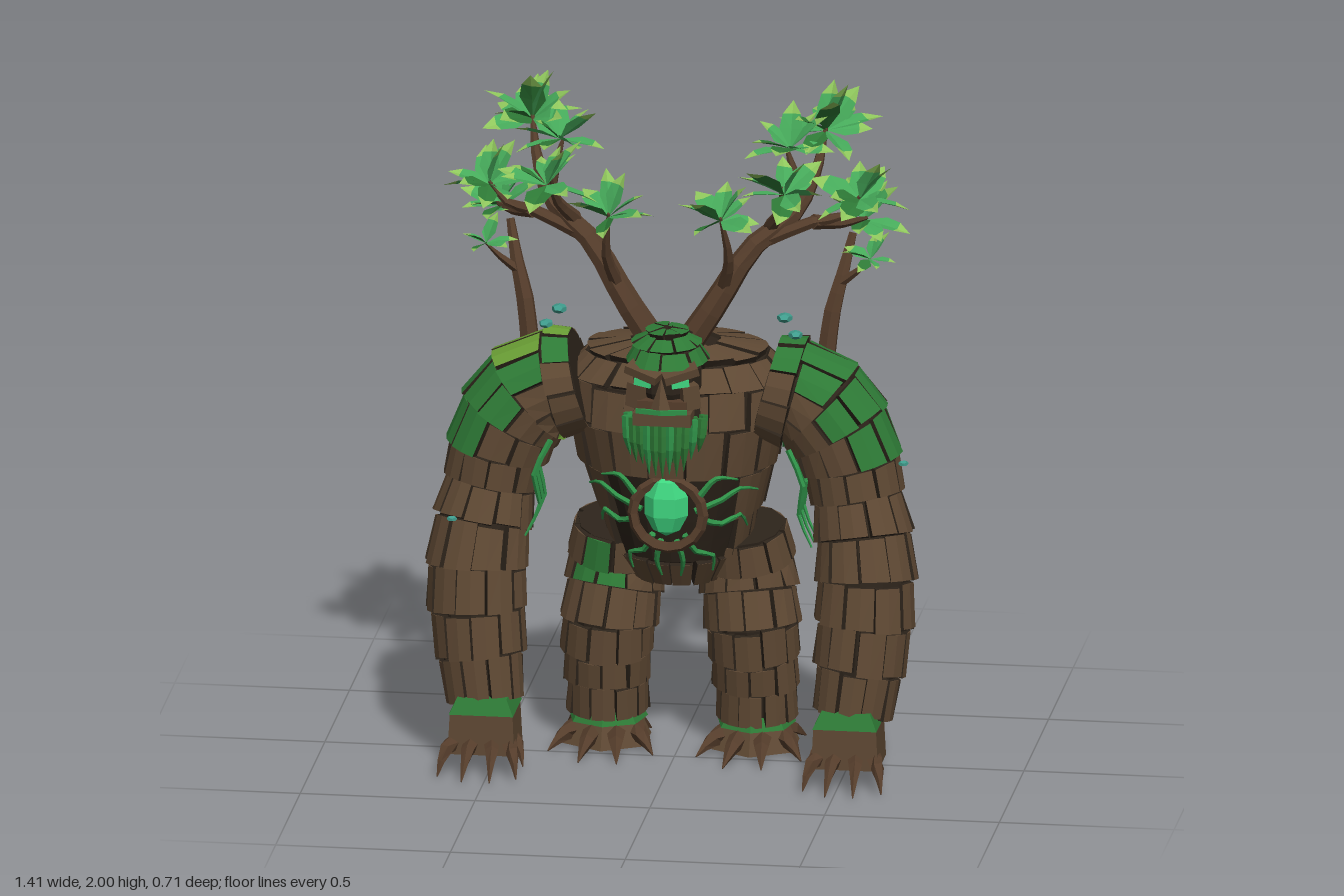
import * as THREE from 'three';

const V = (x, y, z) => new THREE.Vector3(x, y, z);
const lerp = THREE.MathUtils.lerp;
const TAU = Math.PI * 2;

export function createModel() {
  const root = new THREE.Group();
  root.name = 'treeGuardian';
  let seed = 7;
  const rnd = () => (seed = (seed * 16807) % 2147483647) / 2147483647;
  const jit = (a) => (rnd() - 0.5) * 2 * a;

  const colours = {
    bark: 0x5e4833, dark: 0x2c231a, wood: 0x553d2b, moss: 0x2e7a36, lime: 0x6a9e35,
    leaf: 0x46aa5a, leafTip: 0x8fc65c, crystal: 0x3fd680, teal: 0x3f9c8c, vine: 0x2f9148,
  };
  const mats = {};
  for (const [name, color] of Object.entries(colours)) {
    mats[name] = new THREE.MeshStandardMaterial({ color });
    mats[name].name = name;
    if (['leaf', 'leafTip', 'moss'].includes(name)) mats[name].side = THREE.DoubleSide;
  }

  // Triangles are gathered per colour, then turned into flat-shaded meshes
  let bins = {};
  const tri = (m, ...p) => p.forEach((v) => (bins[m] ??= []).push(v.x, v.y, v.z));
  const quad = (m, a, b, c, d) => { tri(m, a, b, c); tri(m, a, c, d); };
  const flush = (name) => {
    const part = new THREE.Group();
    part.name = name;
    for (const m in bins) {
      const g = new THREE.BufferGeometry();
      g.setAttribute('position', new THREE.Float32BufferAttribute(bins[m], 3));
      g.computeVertexNormals();
      const mesh = new THREE.Mesh(g, mats[m]);
      mesh.name = name + '_' + m;
      part.add(mesh);
    }
    bins = {};
    root.add(part);
  };
  // Ready-made geometry as a facetted part
  const solid = (name, geo, m, pos, scale = [1, 1, 1], rot = [0, 0, 0]) => {
    const g = geo.index ? geo.toNonIndexed() : geo;
    g.computeVertexNormals();
    const mesh = new THREE.Mesh(g, mats[m]);
    mesh.name = name;
    mesh.position.set(...pos);
    mesh.scale.set(...scale);
    mesh.rotation.set(...rot);
    root.add(mesh);
  };

  // Surface of a bent limb: centre line with a radius at each point
  const limb = (pts, radii) => {
    const curve = new THREE.CatmullRomCurve3(pts.map((p) => V(...p)));
    return (s, a) => {
      const c = curve.getPoint(s), t = curve.getTangent(s);
      const u = Math.abs(t.z) > 0.9 ? V(0, 1, 0) : V(0, 0, 1);
      u.addScaledVector(t, -u.dot(t)).normalize();
      const v = t.clone().cross(u);
      const k = s * (radii.length - 1), i = Math.min(Math.floor(k), radii.length - 2);
      const r = lerp(radii[i], radii[i + 1], k - i);
      return c.addScaledVector(u, r * Math.cos(a)).addScaledVector(v, r * Math.sin(a));
    };
  };
  const normalAt = (P, s, a) => {
    const e = 0.01;
    const da = P(s, a + e).sub(P(s, a - e));
    return da.cross(P(Math.min(1, s + e), a).sub(P(Math.max(0, s - e), a))).normalize();
  };
  const lift = (P, s, a, h) => P(s, a).addScaledVector(normalAt(P, s, a), h);

  // Closed skin over a surface
  const skin = (P, m, rows, cols) => {
    for (let c = 0; c < cols; c++) {
      const a = (c / cols) * TAU, b = ((c + 1) / cols) * TAU;
      for (let r = 0; r < rows; r++) {
        quad(m, P(r / rows, a), P(r / rows, b), P((r + 1) / rows, b), P((r + 1) / rows, a));
      }
      for (const s of [0, 1]) {
        const mid = P(s, 0).add(P(s, Math.PI)).multiplyScalar(0.5);
        if (s) tri(m, mid, P(s, a), P(s, b)); else tri(m, mid, P(s, b), P(s, a));
      }
    }
  };
  const tube = (m, pts, radii, rows = 5, cols = 6) => skin(limb(pts, radii), m, rows, cols);

  // Overlapping bevelled bark plates; pick() chooses each plate's colour or skips it
  const plates = (P, rows, cols, down, pick) => {
    for (let r = 0; r < rows; r++) for (let c = 0; c < cols; c++) {
      const w = TAU / cols, a0 = (c + (r % 2) * 0.5) * w + jit(0.03), a1 = a0 + w * 0.98;
      const s0 = Math.max(0, (r + 0.01 + jit(0.05)) / rows), s1 = Math.min(1, (r + 0.99 + jit(0.05)) / rows);
      const sm = (s0 + s1) / 2, am = (a0 + a1) / 2;
      const m = pick(P(sm, am), normalAt(P, sm, am), sm);
      if (!m) continue;
      const lo = 0.011 + jit(0.003), hi = 0.022 + jit(0.004);
      const h0 = down ? lo : hi, h1 = down ? hi : lo;
      const da = w * 0.04, ds = 0.025 / rows;
      const inn = [[s0, a0], [s0, a1], [s1, a1], [s1, a0]].map(([s, a]) => lift(P, s, a, -0.004));
      const out = [[s0 + ds, a0 + da, h0], [s0 + ds, a1 - da, h0], [s1 - ds, a1 - da, h1], [s1 - ds, a0 + da, h1]]
        .map(([s, a, h]) => lift(P, s, a, h));
      const f = [lift(P, s0 + ds, am, h0), lift(P, s1 - ds, am, h1)];
      quad(m, out[0], f[0], f[1], out[3]);
      quad(m, f[0], out[1], out[2], f[1]);
      tri(m, out[0], out[1], f[0]);
      tri(m, out[2], out[3], f[1]);
      for (let i = 0; i < 4; i++) quad('dark', inn[i], inn[(i + 1) % 4], out[(i + 1) % 4], out[i]);
    }
  };

  // Torso: rings of y, centre z, half width, half depth
  const rings = [[0.53, -0.14, 0.12, 0.14], [0.6, -0.135, 0.175, 0.195], [0.73, -0.115, 0.215, 0.215], [0.87, -0.095, 0.262, 0.23],
    [1.01, -0.08, 0.3, 0.24], [1.12, -0.08, 0.305, 0.22], [1.185, -0.08, 0.255, 0.175], [1.225, -0.05, 0.12, 0.08]];
  const torso = (s, a) => {
    const k = s * 7, i = Math.min(Math.floor(k), 6);
    const [y, z, w, d] = rings[i].map((v, j) => lerp(v, rings[i + 1][j], k - i));
    return V(Math.sin(a) * w, y, z + Math.cos(a) * d);
  };
  skin(torso, 'dark', 14, 20);
  plates(torso, 7, 16, false, (p) => (p.y > 0.62 && p.y < 0.86 && p.z > 0 && Math.abs(p.x) < 0.15 ? null : 'bark'));
  flush('torso');

  // Belly crystal in a wooden ring, with vines creeping outward
  solid('bellyCrystal', new THREE.SphereGeometry(1, 6, 5), 'crystal', [-0.005, 0.79, 0.13], [0.065, 0.09, 0.045]);
  solid('bellyRing', new THREE.TorusGeometry(0.1, 0.016, 5, 16), 'wood', [0, 0.765, 0.13]);
  for (const sd of [-1, 1]) {
    for (const path of [[[0.34, 0.3], [0.37, 0.6], [0.4, 0.8], [0.38, 1.1]], [[0.31, 0.4], [0.29, 0.65], [0.31, 0.9], [0.26, 1.1]],
      [[0.26, 0.2], [0.2, 0.35], [0.18, 0.6], [0.12, 0.65]], [[0.24, 0.1], [0.17, 0.18], [0.1, 0.15]], [[0.39, 0.35], [0.44, 0.5], [0.43, 0.75]]]) {
      tube('vine', path.map(([s, a]) => lift(torso, s, sd * a, 0.026).toArray()), [0.01, 0.008, 0.003], 6, 5);
    }
  }
  flush('bellyVines');

  // A rosette of broad, folded, two-tone leaves
  const rosette = (x, y, z, size, count) => {
    for (let i = 0; i < count; i++) {
      const a = i * 2.4 + jit(0.3), el = [0, 0.45, 0.95][i % 3] + jit(0.3);
      const d = V(Math.cos(a) * Math.cos(el), Math.sin(el), Math.sin(a) * Math.cos(el));
      const up = V(-Math.sin(a), 0, Math.cos(a)).cross(d);
      if (up.y < 0) up.negate();
      up.applyAxisAngle(d, jit(0.6));
      const w = d.clone().cross(up);
      const L = size * (1 + jit(0.15));
      const at = (t, sx, h) => V(x, y, z).addScaledVector(d, L * t).addScaledVector(w, L * sx).addScaledVector(up, L * h);
      const base = at(0, 0, 0), tip = at(1, 0, -0.06);
      const m = i % 5 === 1 ? 'moss' : 'leaf';
      for (const k of [-1, 1]) {
        tri(m, base, at(0.4, k * 0.24, 0.05), at(0.4, 0, 0));
        quad(m, at(0.4, 0, 0), at(0.4, k * 0.24, 0.05), at(0.7, k * 0.19, 0.03), at(0.72, 0, -0.02));
        tri('leafTip', at(0.72, 0, -0.02), at(0.7, k * 0.19, 0.03), tip);
      }
    }
  };

  for (const sd of [-1, 1]) {
    const side = sd > 0 ? 'left' : 'right';
    const mir = (pts) => pts.map(([x, y, z]) => [x * sd, y, z]);

    // Arm with mossy shoulder
    const arm = limb(mir([[0.265, 1.115, -0.01], [0.395, 1.08, -0.01], [0.485, 0.965, -0.005], [0.525, 0.8, 0], [0.555, 0.61, 0.045], [0.55, 0.4, 0.08], [0.525, 0.19, 0.115]]),
      [0.135, 0.145, 0.135, 0.115, 0.128, 0.122, 0.092]);
    skin(arm, 'dark', 14, 12);
    plates(arm, 10, 10, true, (p, n, s) => {
      if (s > 0.38 || n.x * sd * 0.7 + n.y * 0.7 + n.z * 0.25 < 0.5) return 'bark';
      return sd < 0 && (n.y > 0.8 || n.z < -0.15) ? 'lime' : 'moss';
    });
    flush(side + 'Arm');
    for (let i = 0; i < 3; i++) {
      const z = 0.1 - i * 0.05;
      tube('vine', mir([[0.34 + i * 0.01, 0.96, z], [0.385, 0.86, z + 0.02], [0.37, 0.77, z], [0.41, 0.68, z + 0.02]]), [0.009, 0.008, 0.003], 6, 5);
    }
    flush(side + 'ArmVines');

    // Hand and claws
    solid(side + 'Wrist', new THREE.CylinderGeometry(0.1, 0.13, 0.045, 4, 1, false, Math.PI / 4), 'moss', [sd * 0.52, 0.2, 0.15]);
    solid(side + 'Hand', new THREE.CylinderGeometry(0.127, 0.135, 0.12, 4, 1, false, Math.PI / 4), 'bark', [sd * 0.52, 0.12, 0.155], [1, 1, 0.88]);
    for (const [x, z] of [[-0.11, 0.31], [-0.04, 0.355], [0.04, 0.355], [0.115, 0.31]]) {
      tube('wood', mir([[0.52 + x * 0.6, 0.09, 0.19], [0.52 + x * 0.85, 0.08, 0.26], [0.52 + x, 0.015, z]]), [0.028, 0.02, 0.002], 4, 5);
    }
    tube('wood', mir([[0.46, 0.1, 0.13], [0.425, 0.08, 0.16], [0.405, 0.02, 0.2]]), [0.025, 0.018, 0.002], 4, 5);
    flush(side + 'Claws');

    // Leg
    const leg = limb(mir([[0.175, 0.655, -0.135], [0.188, 0.51, -0.165], [0.205, 0.37, -0.135], [0.212, 0.24, -0.15], [0.212, 0.095, -0.165]]),
      [0.118, 0.125, 0.118, 0.107, 0.095]);
    skin(leg, 'dark', 10, 12);
    plates(leg, 6, 10, true, (p, n, s) => (sd < 0 && s < 0.33 && n.z > 0.75 && p.x < -0.17 ? 'moss' : 'bark'));
    flush(side + 'Leg');

    // Foot with root toes
    solid(side + 'Ankle', new THREE.CylinderGeometry(0.095, 0.115, 0.035, 7), 'moss', [sd * 0.212, 0.09, -0.15]);
    solid(side + 'Foot', new THREE.CylinderGeometry(0.1, 0.135, 0.07, 6), 'bark', [sd * 0.212, 0.045, -0.14]);
    for (const [x, z] of [[-0.15, 0.0], [-0.06, 0.1], [0.05, 0.1], [0.15, 0.0], [0.02, -0.355], [-0.11, -0.26], [0.13, -0.25]]) {
      const mid = lerp(-0.14, z, 0.6);
      tube('wood', mir([[0.212 + x * 0.45, 0.05, -0.14], [0.212 + x * 0.75, 0.042, mid], [0.212 + x, 0.008, z]]), [0.036, 0.022, 0.002], 4, 5);
    }
    flush(side + 'Toes');

    // Branching antler
    tube('wood', mir([[0.04, 1.24, 0.07], [0.13, 1.38, 0.075], [0.23, 1.54, 0.05], [0.35, 1.64, 0], [0.4, 1.75, -0.05], [0.42, 1.86, -0.1]]),
      [0.042, 0.038, 0.032, 0.025, 0.017, 0.006], 12, 7);
    const twigs = [[[0.24, 1.55, 0.045], [0.4, 1.615, 0.02], [0.48, 1.63, 0], [0.53, 1.69, 0]],
      [[0.4, 1.615, 0.02], [0.47, 1.59, -0.06], [0.53, 1.58, -0.15]],
      [[0.15, 1.42, 0.075], [0.175, 1.53, 0.14], [0.16, 1.67, 0.2]],
      [[0.28, 1.6, 0.03], [0.32, 1.67, 0.1], [0.33, 1.76, 0.17]],
      [[0.36, 1.67, -0.02], [0.34, 1.75, -0.01], [0.32, 1.82, -0.01]]];
    for (const t of twigs) tube('wood', mir(t), [0.022, 0.015, 0.005], 6, 6);
    flush(side + 'Antler');
    for (const [x, y, z, size, count] of [[0.42, 1.85, -0.1, 0.155, 14], [0.33, 1.82, -0.01, 0.135, 11], [0.53, 1.68, 0, 0.135, 11],
      [0.52, 1.57, -0.16, 0.135, 10], [0.16, 1.66, 0.2, 0.13, 9], [0.34, 1.74, 0.18, 0.14, 11]]) {
      rosette(sd * x, y, z, size, count);
    }
    flush(side + 'AntlerLeaves');

    // Shoulder sapling
    tube('wood', mir([[0.425, 1.2, -0.08], [0.44, 1.32, -0.09], [0.465, 1.42, -0.11], [0.49, 1.535, -0.15]]), [0.028, 0.026, 0.02, 0.012], 6, 6);
    tube('wood', mir([[0.46, 1.4, -0.1], [0.51, 1.44, -0.09], [0.55, 1.48, -0.08]]), [0.015, 0.01, 0.003], 4, 5);
    rosette(sd * 0.55, 1.48, -0.08, 0.085, 7);
    flush(side + 'Sapling');

    // Face halves: eye, brow, cheek, moustache line
    solid(side + 'Eye', new THREE.BoxGeometry(0.05, 0.02, 0.009), 'crystal', [sd * 0.054, 1.192, 0.264], [1, 1, 1], [0, sd * 0.3, sd * 0.1]);
    solid(side + 'Brow', new THREE.BoxGeometry(0.1, 0.024, 0.05), 'bark', [sd * 0.052, 1.22, 0.25], [1, 1, 1], [0.2, sd * 0.35, sd * 0.2]);
    solid(side + 'Cheek', new THREE.BoxGeometry(0.05, 0.07, 0.06), 'bark', [sd * 0.07, 1.145, 0.215], [1, 1, 1], [0, sd * 0.5, sd * 0.1]);
    solid(side + 'Lip', new THREE.BoxGeometry(0.075, 0.014, 0.009), 'vine', [sd * 0.036, 1.108, 0.268], [1, 1, 1], [0, sd * 0.2, 0]);
  }

  // Head with plated moss cap
  solid('skull', new THREE.SphereGeometry(1, 10, 7), 'dark', [0, 1.18, 0.14], [0.1, 0.12, 0.115]);
  const cap = (s, a) => {
    const t = lerp(1.5, 0.12, s);
    return V(Math.sin(a) * Math.sin(t) * 0.097, 1.222 + Math.cos(t) * 0.092, 0.145 + Math.cos(a) * Math.sin(t) * 0.112);
  };
  skin(cap, 'dark', 5, 12);
  plates(cap, 3, 8, false, () => 'moss');
  flush('mossCap');
  solid('nose', new THREE.ConeGeometry(0.028, 0.09, 4), 'bark', [0, 1.165, 0.275], [1, 1, 1.1], [-0.2, 0, 0]);
  solid('upperJaw', new THREE.BoxGeometry(0.14, 0.03, 0.09), 'wood', [0, 1.122, 0.215]);
  solid('chin', new THREE.BoxGeometry(0.165, 0.038, 0.11), 'bark', [0, 1.082, 0.205]);
  solid('neck', new THREE.CylinderGeometry(0.09, 0.13, 0.14, 8), 'dark', [0, 1.1, 0.1]);

  // Hanging moss beard in two rows
  for (const [n, z, len] of [[11, 0.245, 0.165], [9, 0.21, 0.13]]) {
    for (let i = 0; i < n; i++) {
      const f = (i / (n - 1)) * 2 - 1, x = f * 0.108, l = len * (1 - 0.35 * f * f) + jit(0.015), zz = z - 0.04 * f * f;
      tube(i % 3 ? 'moss' : 'vine', [[x, 1.075, zz], [x * 0.97, 1.07 - l * 0.5, zz + 0.006], [x * 0.9, 1.07 - l, zz - 0.005]], [0.014, 0.013, 0.001], 4, 5);
    }
  }
  flush('beard');

  // Floating crystal chips
  for (const [x, y, z, r] of [[-0.325, 1.33, 0.03, 0.023], [-0.36, 1.29, 0.05, 0.021], [0.32, 1.33, 0.03, 0.023], [0.355, 1.29, 0.06, 0.021],
    [0.665, 0.925, 0.07, 0.014], [-0.6, 0.765, 0.26, 0.014], [-0.15, 1.12, -0.345, 0.014], [-0.605, 0.92, -0.12, 0.014]]) {
    solid('chip', new THREE.DodecahedronGeometry(r), 'teal', [x, y, z], [1.1, 0.6, 1], [0, x * 5, 0]);
  }

  return root;
}
